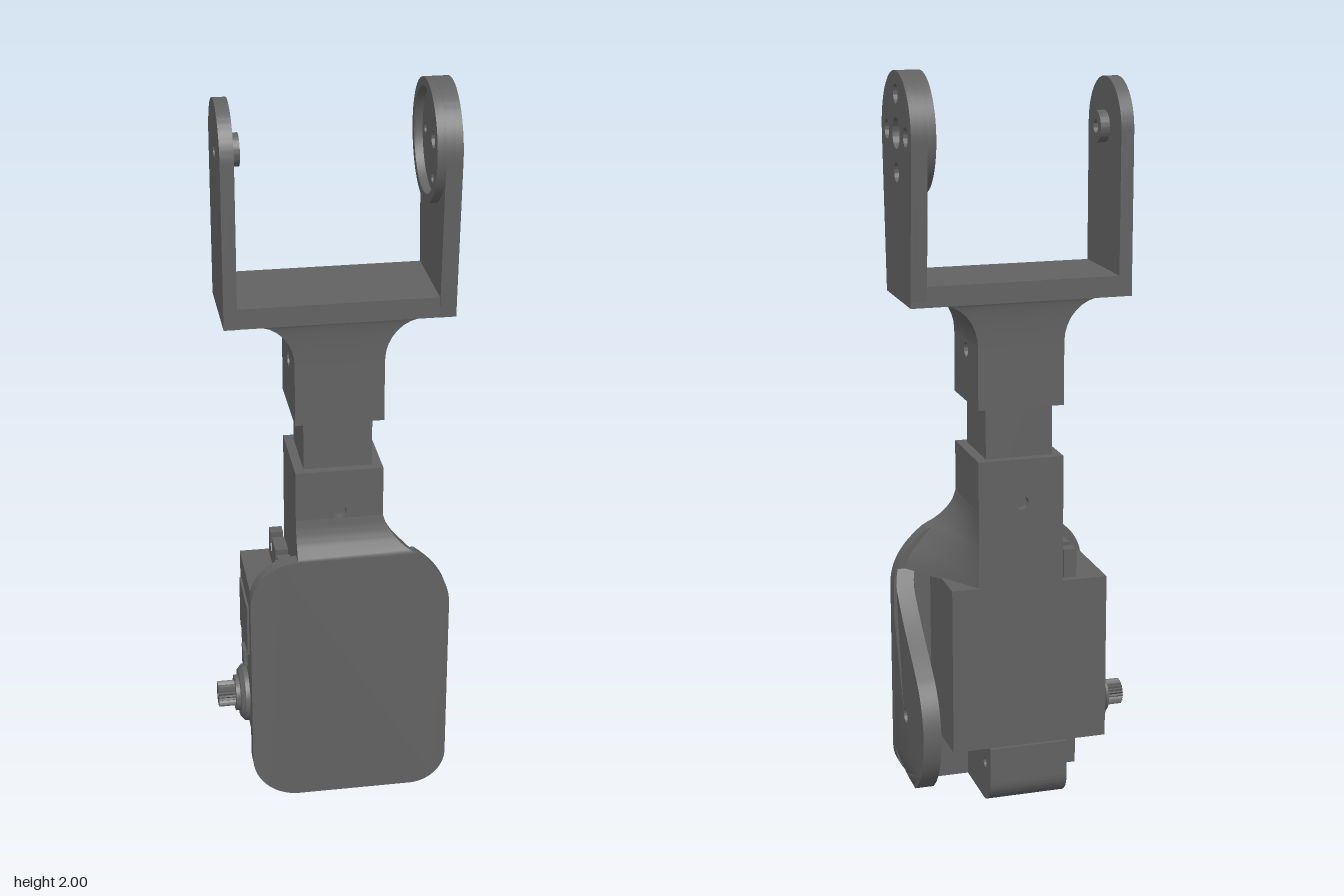
import * as THREE from 'three';
import { toCreasedNormals } from 'three/addons/utils/BufferGeometryUtils.js';

const MAT = new THREE.MeshStandardMaterial({ color: 0x626262 });
const CZ = 0.022;     // depth of the pivot axes
const FORK_Y = 1.845; // upper pivot height
const AXLE_Y = 0.25;  // lower pivot height
const SIDE = 0.309;   // outer face on the left

export function createModel() {
  const root = new THREE.Group();
  const add = (name, geo) => {
    const m = new THREE.Mesh(toCreasedNormals(geo, 0.5), MAT);
    m.name = name;
    root.add(m);
    return m;
  };
  const box = (name, x0, x1, y0, y1, z0, z1) =>
    add(name, new THREE.BoxGeometry(x1 - x0, y1 - y0, z1 - z0)
      .translate((x0 + x1) / 2, (y0 + y1) / 2, (z0 + z1) / 2));
  const hole = (shape, x, y, r) => {
    shape.holes.push(new THREE.Path().absarc(x, y, r, 0, Math.PI * 2, true));
    return shape;
  };
  const polygon = pts => new THREE.Shape(pts.map(p => new THREE.Vector2(...p)));
  const extrude = (shape, d) =>
    new THREE.ExtrudeGeometry(shape, { depth: d, bevelEnabled: false, curveSegments: 24 });
  // Front outlines extruded along z; side outlines (drawn in -z, y) extruded along x
  const slabZ = (name, shape, z0, z1) => add(name, extrude(shape, z1 - z0).translate(0, 0, z0));
  const sideGeo = (shape, x0, x1) =>
    extrude(shape, x1 - x0).rotateY(Math.PI / 2).translate(x0, 0, 0);
  const slabX = (name, shape, x0, x1) => add(name, sideGeo(shape, x0, x1));
  const disc = (y, r) => new THREE.Shape().absarc(-CZ, y, r, 0, Math.PI * 2, false);

  // Sections stacked upwards: [y, ring of (x, z) counter-clockwise from above]
  const loft = (name, sections) => {
    const pos = [], n = sections[0][1].length;
    const put = (s, i) => pos.push(s[1][i % n][0], s[0], s[1][i % n][1]);
    for (let k = 0; k < sections.length - 1; k++) {
      const a = sections[k], b = sections[k + 1];
      for (let i = 0; i < n; i++) {
        put(a, i); put(a, i + 1); put(b, i + 1);
        put(a, i); put(b, i + 1); put(b, i);
      }
    }
    const top = sections[sections.length - 1];
    for (let i = 1; i < n - 1; i++) {
      put(top, 0); put(top, i); put(top, i + 1);
      put(sections[0], 0); put(sections[0], i + 1); put(sections[0], i);
    }
    const g = new THREE.BufferGeometry();
    g.setAttribute('position', new THREE.Float32BufferAttribute(pos, 3));
    return add(name, g);
  };

  // Fork arms: round head on a straight or tapering leg
  const armShape = (r, half, tilt) => {
    const s = new THREE.Shape();
    s.moveTo(-CZ - half, 1.415);
    s.lineTo(-CZ + half, 1.415);
    s.absarc(-CZ, FORK_Y, r, -tilt, Math.PI + tilt, false);
    s.closePath();
    return s;
  };
  const wideArm = (rc, rs) => {
    const s = hole(armShape(0.158, 0.13, 0.065), -CZ, FORK_Y, rc);
    for (let i = 0; i < 4; i++) {
      const a = i * Math.PI / 2;
      hole(s, -CZ + 0.1 * Math.cos(a), FORK_Y + 0.1 * Math.sin(a), rs);
    }
    return s;
  };
  slabX('hornArmInner', wideArm(0.022, 0.013), 0.268, 0.292);
  slabX('hornArmOuter', wideArm(0.04, 0.025), 0.292, 0.311);
  slabX('hornRim', hole(disc(FORK_Y, 0.158), -CZ, FORK_Y, 0.135), 0.246, 0.268);
  slabX('idlerArm', hole(armShape(0.13, 0.13, 0), -CZ, FORK_Y, 0.018), -0.286, -0.251);
  slabX('idlerBoss', hole(disc(FORK_Y, 0.042), -CZ, FORK_Y, 0.018), -0.251, -0.226);

  // Fork base with its flared underside
  box('forkBase', -0.286, SIDE, 1.415, 1.47, -0.109, 0.151);
  const flare = [];
  for (let i = 0; i <= 8; i++) {
    const a = i / 8 * Math.PI / 2;
    const w = 0.105 * (1 - Math.cos(a)), d = 0.01 * (1 - Math.cos(a));
    const x0 = -0.105 - w, x1 = 0.13 + w, z0 = -0.095 - d, z1 = 0.14 + d;
    flare.push([1.3 + 0.117 * Math.sin(a), [[x0, z0], [x0, z1], [x1, z1], [x1, z0]]]);
  }
  loft('forkFlare', flare);

  // Sockets with screw holes that end on the square tube inside
  slabX('upperSocket', hole(polygon([[-0.14, 1.13], [0.095, 1.13], [0.095, 1.3], [-0.14, 1.3]]),
    -CZ, 1.27, 0.02), -0.105, 0.13);
  box('squareTube', -0.08, 0.103, 0.82, 1.32, -0.07, 0.115);
  slabZ('lowerSocket', hole(polygon([[-0.105, 0.84], [0.13, 0.84], [0.13, 0.99], [-0.105, 0.99]]),
    0.012, 0.87, 0.02), -0.095, 0.14);

  // Neck sweeping forwards and sideways into the front cover
  const sweep = new THREE.CatmullRomCurve3([[0.298, 0.635, 0.175], [0.285, 0.665, 0.175],
    [0.258, 0.7, 0.175], [0.214, 0.745, 0.178], [0.185, 0.765, 0.168], [0.16, 0.79, 0.155],
    [0.14, 0.82, 0.145], [0.13, 0.85, 0.14]].map(p => new THREE.Vector3(...p)));
  loft('neckSweep', sweep.getPoints(28).map(({ x, y, z }) => {
    const ring = [[-0.105, -0.095], [-0.105, z]];
    for (let i = 0; i <= 8; i++) ring.push([x + (0.13 - x) * i / 8, z + (-0.095 - z) * i / 8]);
    return [y, ring];
  }));

  // Front cover
  const cover = new THREE.Shape();
  cover.moveTo(-0.105, 0);
  cover.lineTo(SIDE - 0.1, 0);
  cover.absarc(SIDE - 0.1, 0.1, 0.1, -Math.PI / 2, 0, false);
  cover.lineTo(SIDE, 0.58);
  cover.bezierCurveTo(SIDE, 0.65, 0.272, 0.7, 0.214, 0.745);
  cover.lineTo(-0.105, 0.745);
  cover.absarc(-0.105, 0.615, 0.13, Math.PI / 2, Math.PI, false);
  cover.lineTo(-0.235, 0.13);
  cover.absarc(-0.105, 0.13, 0.13, Math.PI, Math.PI * 1.5, false);
  slabZ('frontCover', cover, 0.14, 0.18);

  // Side cheek carrying the idler pivot, curling in with the cover's corners
  const cheek = new THREE.Shape();
  cheek.moveTo(-0.175, 0.012);
  cheek.quadraticCurveTo(-0.11, 0.05, -CZ, 0.05);
  cheek.absarc(-CZ, AXLE_Y, 0.2, -Math.PI / 2, 0.92, false);
  cheek.bezierCurveTo(0.03, 0.47, -0.06, 0.52, -0.14, 0.635);
  for (const y of [0.635, 0.58, 0.1, 0.07, 0.04]) cheek.lineTo(-0.175, y);
  cheek.closePath();
  const cheekGeo = sideGeo(hole(cheek, -CZ, AXLE_Y, 0.02), 0.26, SIDE);
  const p = cheekGeo.attributes.position;
  for (let i = 0; i < p.count; i++) {
    const low = Math.max(0, 0.1 - p.getY(i)), high = Math.max(0, p.getY(i) - 0.58);
    p.setX(i, p.getX(i) - (0.1 - Math.sqrt(0.01 - low * low)) - 4 * high * high);
  }
  cheekGeo.computeVertexNormals();
  add('sideCheek', cheekGeo);
  slabX('pivotScrew', disc(AXLE_Y, 0.02), 0.26, 0.298);

  // Lower mounting block with a rounded heel
  const heel = new THREE.Shape();
  heel.moveTo(-0.16, 0);
  heel.lineTo(0.025, 0);
  heel.absarc(0.025, 0.07, 0.07, -Math.PI / 2, 0, false);
  heel.lineTo(0.095, 0.17);
  heel.lineTo(-0.16, 0.17);
  heel.closePath();
  for (const z of [-0.04, 0.08]) hole(heel, -z, 0.11, 0.014);
  slabX('lowerMount', heel, -0.12, 0.1);

  // Servo body, slotted flanges and face panel
  box('servoBody', -0.23, 0.205, 0.175, 0.64, -0.096, 0.14);
  const tab = y => { // +1 opens upwards, -1 downwards
    const at = d => (y > 0 ? 0.64 + d : 0.175 - d);
    const pts = [[-0.12, at(0)], [-0.12, at(0.08)]];
    for (const z of [0.072, -0.028]) {
      pts.push([-z - 0.014, at(0.08)], [-z - 0.018, at(0.045)], [-z, at(0.025)],
        [-z + 0.018, at(0.045)], [-z + 0.014, at(0.08)]);
    }
    pts.push([0.075, at(0.08)], [0.075, at(0)]);
    return polygon(pts);
  };
  slabX('upperFlange', tab(1), -0.15, -0.115);
  slabX('lowerFlange', tab(-1), -0.15, -0.115);
  box('facePanel', -0.236, -0.23, 0.42, 0.57, -0.07, 0.1);
  box('faceBump', -0.241, -0.23, 0.35, 0.4, 0, 0.045);

  // Output shaft: stepped bearing boss and splined tip
  const boss = [[0, 0], [0.08, 0], [0.08, 0.012], [0.066, 0.024], [0.05, 0.024], [0.05, 0.036], [0, 0.036]];
  add('shaftBoss', new THREE.LatheGeometry(boss.map(q => new THREE.Vector2(...q)), 32)
    .rotateZ(Math.PI / 2).translate(-0.23, AXLE_Y, CZ));
  const teeth = [];
  for (let i = 0; i < 48; i++) {
    const r = i % 2 ? 0.031 : 0.036, a = i / 48 * Math.PI * 2;
    teeth.push([-CZ + r * Math.cos(a), AXLE_Y + r * Math.sin(a)]);
  }
  slabX('splinedShaft', hole(polygon(teeth), -CZ, AXLE_Y, 0.012), -0.313, -0.264);

  return root;
}
